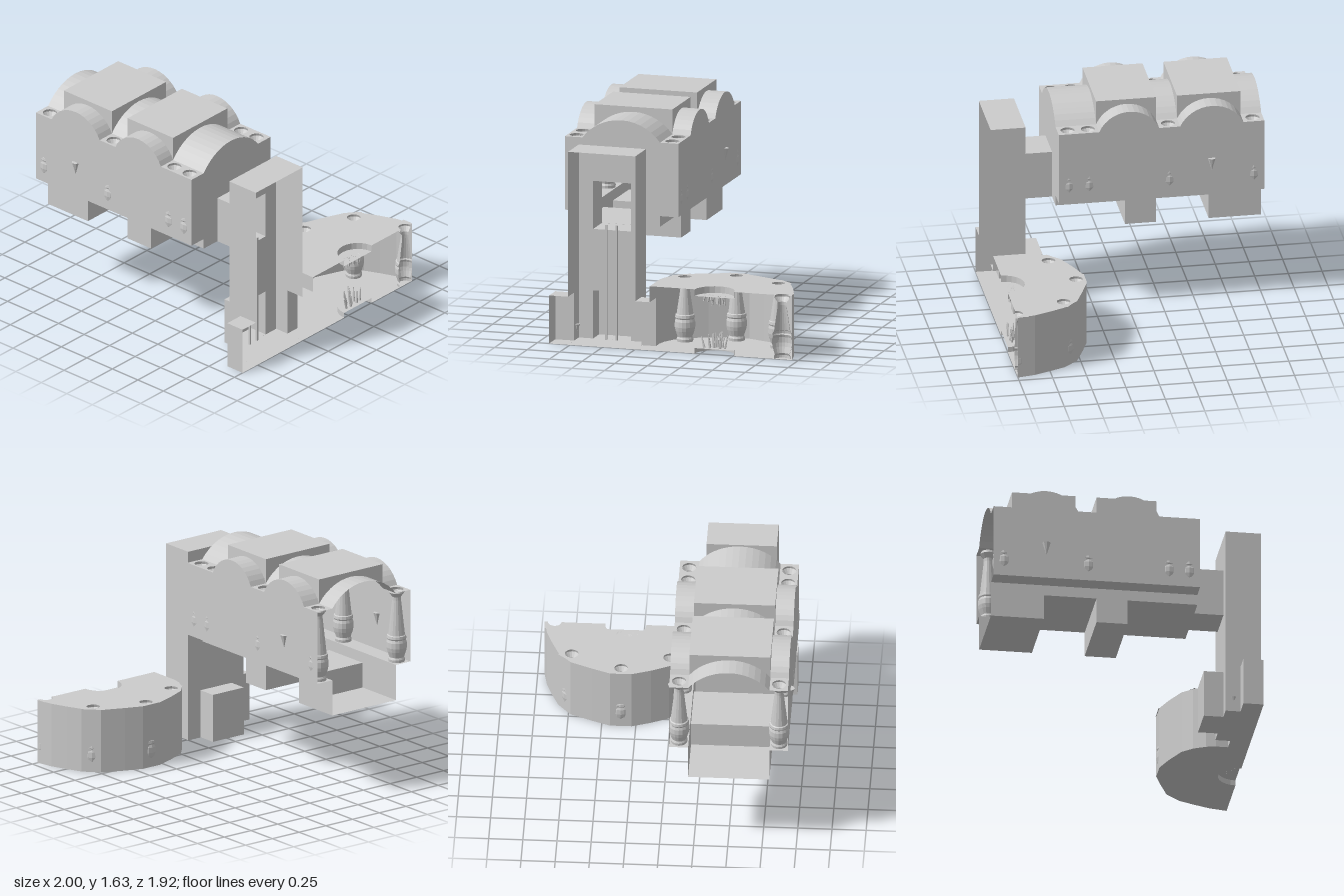
import * as THREE from 'three';

const mat = new THREE.MeshStandardMaterial({ color: 0xcccccc, flatShading: true, side: THREE.DoubleSide });
const smoothMat = new THREE.MeshStandardMaterial({ color: 0xcccccc, side: THREE.DoubleSide });
const vec = (pts) => pts.map(([a, b]) => new THREE.Vector2(a, b));
const rect = (a0, a1, b0, b1) => [[a0, b0], [a1, b0], [a1, b1], [a0, b1]];

// Points of a shallow arch from c-h to c+h, rising from y to y+s
function arch(c, h, y = 1.45, s = 0.148, n = 14) {
  const R = (h * h + s * s) / (2 * s), half = Math.asin(h / R), pts = [];
  for (let i = 0; i <= n; i++) {
    const t = -half + (2 * half * i) / n;
    pts.push([c + R * Math.sin(t), y + s - R + R * Math.cos(t)]);
  }
  return pts;
}
const circle = (cx, cy, r, a0 = 0, a1 = Math.PI * 2, n = 16) =>
  Array.from({ length: n + 1 }, (_, i) => {
    const a = a0 + ((a1 - a0) * i) / n;
    return [cx + r * Math.cos(a), cy + r * Math.sin(a)];
  });

function add(group, name, geo, material = mat) {
  const m = new THREE.Mesh(geo, material);
  m.name = name;
  group.add(m);
  return m;
}

// Flat outline with holes: axis x uses (z,y), axis y uses (x,z), axis z uses (x,y)
function panel(group, name, axis, at, pts, holes = []) {
  const shape = new THREE.Shape(vec(pts));
  holes.forEach((h) => shape.holes.push(new THREE.Path(vec(h))));
  const g = new THREE.ShapeGeometry(shape);
  if (axis === 'x') g.rotateY(-Math.PI / 2).translate(at, 0, 0);
  if (axis === 'y') g.rotateX(Math.PI / 2).translate(0, at, 0);
  if (axis === 'z') g.translate(0, 0, at);
  return add(group, name, g);
}

// Sheet swept from a profile: f(point, 0|1) gives the two long edges
function sheet(group, name, pts, f) {
  const n = pts.length - 1, g = new THREE.PlaneGeometry(1, 1, n, 1), p = g.attributes.position;
  for (let j = 0; j < 2; j++) for (let i = 0; i <= n; i++) p.setXYZ(j * (n + 1) + i, ...f(pts[i], j));
  g.computeVertexNormals();
  return add(group, name, g);
}

// Thin-walled box with only the listed faces (l r = -x +x, b t = bottom top, k f = back front)
function shell(group, name, [x0, x1], [y0, y1], [z0, z1], faces, holes = {}) {
  const g = new THREE.Group();
  g.name = name;
  const def = {
    l: ['x', x0, rect(z0, z1, y0, y1)], r: ['x', x1, rect(z0, z1, y0, y1)],
    b: ['y', y0, rect(x0, x1, z0, z1)], t: ['y', y1, rect(x0, x1, z0, z1)],
    k: ['z', z0, rect(x0, x1, y0, y1)], f: ['z', z1, rect(x0, x1, y0, y1)],
  };
  for (const c of faces) panel(g, name + 'Face', ...def[c], holes[c] || []);
  group.add(g);
}

// Hollow vase-shaped column with flared top; half columns end on the cut plane
function column(group, x, y, z, h, half = false) {
  const prof = [[0.06, 0], [0.062, 0.02], [0.055, 0.035], [0.07, 0.08], [0.076, 0.11], [0.075, 0.15], [0.068, 0.17],
    [0.073, 0.18], [0.07, 0.2], [0.062, 0.205], [0.033, h - 0.08], [0.033, h - 0.055], [0.058, h - 0.02], [0.052, h]];
  const m = add(group, 'column', new THREE.LatheGeometry(vec(prof), half ? 10 : 16,
    half ? Math.PI : 0, half ? Math.PI : Math.PI * 2));
  m.position.set(x, y, z);
}

function torch(group, x, y, z, r = 0.03, h = 0.1) {
  const m = add(group, 'wallTorch', new THREE.ConeGeometry(r, h, 8).rotateX(Math.PI), mat);
  m.position.set(x, y, z);
}

function buildWing() {
  const g = new THREE.Group();
  g.name = 'upperHall';
  const X0 = -1, X1 = 0.525, Z0 = 0.07, Z1 = 0.94, A = 0.21, B = 0.805;
  const bays = [[-0.845, -0.375], [-0.22, 0.225]];
  const archOf = (a, b) => arch((a + b) / 2, (b - a) / 2);

  // Long walls with two arched gables
  const wall = [[X1, 0.9], [X1, 1.45], ...bays.flatMap((b) => archOf(...b)).reverse(), [X0, 1.45], [X0, 0.9]];
  for (const z of [Z0, Z1]) {
    panel(g, 'longWall', 'z', z, wall);
    torch(g, -0.61, 1.13, z);
  }
  // End wall with doorway
  panel(g, 'endWall', 'x', X1, [[A, 0.82], [A, 0.9], [Z0, 0.9], [Z0, 1.45], ...archOf(A, B), [Z1, 1.45], [Z1, 0.9], [B, 0.9], [B, 0.82]],
    [rect(0.365, 0.655, 0.821, 1.18)]);

  // Cross vaults and raised roof blocks
  for (const [a, b] of bays) {
    for (const [z0, z1] of [[Z0, A], [B, Z1]])
      sheet(g, 'sideVault', archOf(a, b), ([x, y], j) => [x, y, j ? z1 : z0]);
    panel(g, 'roofBlockTop', 'y', 1.635, rect(a, b, A, B));
    for (const x of [a, b]) panel(g, 'roofBlockSide', 'x', x, [...archOf(A, B), [B, 1.635], [A, 1.635]]);
    for (const z of [A, B]) panel(g, 'roofBlockSide', 'z', z, [...archOf(a, b), [b, 1.635], [a, 1.635]]);
  }
  for (const [a, b] of [[X0, -0.845], [-0.375, -0.22], [0.225, X1]])
    sheet(g, 'mainVault', archOf(A, B), ([z, y], j) => [j ? b : a, y, z]);

  // Flat corner roofs pierced above each column, and ledges below
  for (const [z0, z1] of [[Z0, A], [B, Z1]]) {
    for (const [a, b] of [[X0, -0.845], [-0.375, -0.22], [0.225, 0.37], [0.37, X1]]) {
      const x = (a + b) / 2, z = (z0 + z1) / 2;
      panel(g, 'cornerRoof', 'y', 1.45, rect(a, b, z0, z1), [circle(x, z, 0.052)]);
      column(g, x, 0.9, z, 0.55);
    }
    panel(g, 'ledge', 'y', 0.9, rect(X0, X1, z0, z1));
  }
  for (const z of [A, B]) panel(g, 'ledgeRiser', 'z', z, rect(X0, X1, 0.82, 0.9));

  // Floor with two sunken pits, the first open at the hall's cut end
  for (const [a, b] of [[-0.61, -0.22], [0.01, X1]]) panel(g, 'hallFloor', 'y', 0.82, rect(a, b, A, B));
  shell(g, 'endPit', [X0, -0.61], [0.63, 0.82], [A, B], 'rbkf');
  shell(g, 'middlePit', [-0.22, 0.01], [0.63, 0.82], [A, B], 'lrbkf');
  return g;
}

function buildTower() {
  const g = new THREE.Group();
  g.name = 'tower';
  const door = rect(0.85, 0.9999, 0.0001, 0.36);
  shell(g, 'shaft', [0.74, 1], [0, 1.445], [0.25, 0.765], 'lbtkf', {
    l: [rect(0.365, 0.655, 0.82, 1.18), rect(0.365, 0.655, 0.0001, 0.36)], k: [door], f: [door],
  });
  shell(g, 'bridge', [0.525, 0.74], [0.82, 1.18], [0.365, 0.655], 'btkf');
  shell(g, 'sideAlcove', [0.595, 0.74], [0, 0.36], [0.365, 0.655], 'lbtkf');
  shell(g, 'frontPorch', [0.85, 1], [0, 0.36], [0.765, 0.91], 'lbtf');
  shell(g, 'passage', [0.85, 1], [0, 0.36], [0.14, 0.25], 'lbt');
  // Ladder rails up to the bridge
  for (const z of [0.472, 0.552]) add(g, 'ladderRail', new THREE.BoxGeometry(0.015, 0.86, 0.015)).position.set(0.75, 0.43, z);
  torch(g, 0.8, 0.09, 0.757, 0.02, 0.05);
  return g;
}

function buildRotunda() {
  const g = new THREE.Group();
  g.name = 'rotunda';
  const H = 0.48, cz = -0.355, R = 0.15, P = Math.PI;
  const outline = [[1, -0.95], [0.87, -0.925], [0.75, -0.88], [0.635, -0.83], [0.525, -0.735], [0.455, -0.57], [0.405, -0.44],
    [0.405, -0.28], [0.455, -0.14], [0.525, 0.01], [0.6, 0.08], [0.69, 0.125], [0.76, 0.14], [0.85, 0.14]];
  sheet(g, 'curvedWall', outline, ([x, z], j) => [x, j ? 0 : H, z]);
  panel(g, 'doorLintel', 'z', 0.14, rect(0.85, 1, 0.36, H));

  // Roof and floor, notched around the central wells
  const well = circle(1, cz, R, P / 2, 1.5 * P, 12), slot = circle(1, -0.875, 0.05, P / 2, 1.5 * P, 10);
  const posts = [[0.625, -0.73, 0.87], [0.47, -0.36, 0], [0.615, -0.01, 0.7]];
  panel(g, 'roof', 'y', H, [...outline, [1, 0.14], ...well, ...slot], posts.map(([x, z]) => circle(x, z, 0.052)));
  panel(g, 'floor', 'y', 0, [...outline, [1, 0.14], ...well]);

  // Columns with square collars
  for (const [x, z, turn] of posts) {
    column(g, x, 0, z, H);
    const c = panel(g, 'columnCollar', 'y', 0, rect(-0.07, 0.07, -0.075, 0.075), [circle(0, 0, 0.05)]);
    c.position.set(x, H + 0.003, z);
    c.rotation.y = turn;
  }
  column(g, 1, 0, -0.875, H, true);
  panel(g, 'columnCollar', 'y', H + 0.003, [[1, -0.948], [0.92, -0.948], [0.92, -0.805], [1, -0.805], ...slot]);

  // Floor dais and ceiling well, each bristling with spikes
  let seed = 7;
  const rnd = () => (seed = (seed * 16807) % 2147483647) / 2147483647;
  for (const [y0, y1, dir] of [[0, 0.04, 1], [H, 0.43, -1]]) {
    sheet(g, 'wellRim', well, ([x, z], j) => [x, j ? y1 : y0, z]);
    panel(g, 'wellPlate', 'y', y1, well);
    for (let i = 0; i < 16; i++) {
      const a = P / 2 + P * (0.08 + 0.84 * rnd()), r = 0.03 + 0.065 * rnd(), h = (dir > 0 ? 0.07 : 0.04) + 0.045 * rnd();
      const m = add(g, 'spike', new THREE.CylinderGeometry(0.004, 0.01, h, 5).translate(0, h / 2, 0));
      m.position.set(1 + r * Math.cos(a) - 0.012, y1, cz + r * Math.sin(a));
      m.rotation.set(r * Math.sin(a) * 3 + (dir < 0 ? P : 0), 0, -r * Math.cos(a) * 2 * dir);
      if (dir < 0) m.rotation.x = P - r * Math.sin(a) * 3;
    }
  }
  return g;
}

export function createModel() {
  const model = new THREE.Group();
  model.name = 'ruinedHalls';
  model.add(buildWing(), buildTower(), buildRotunda());
  return model;
}
